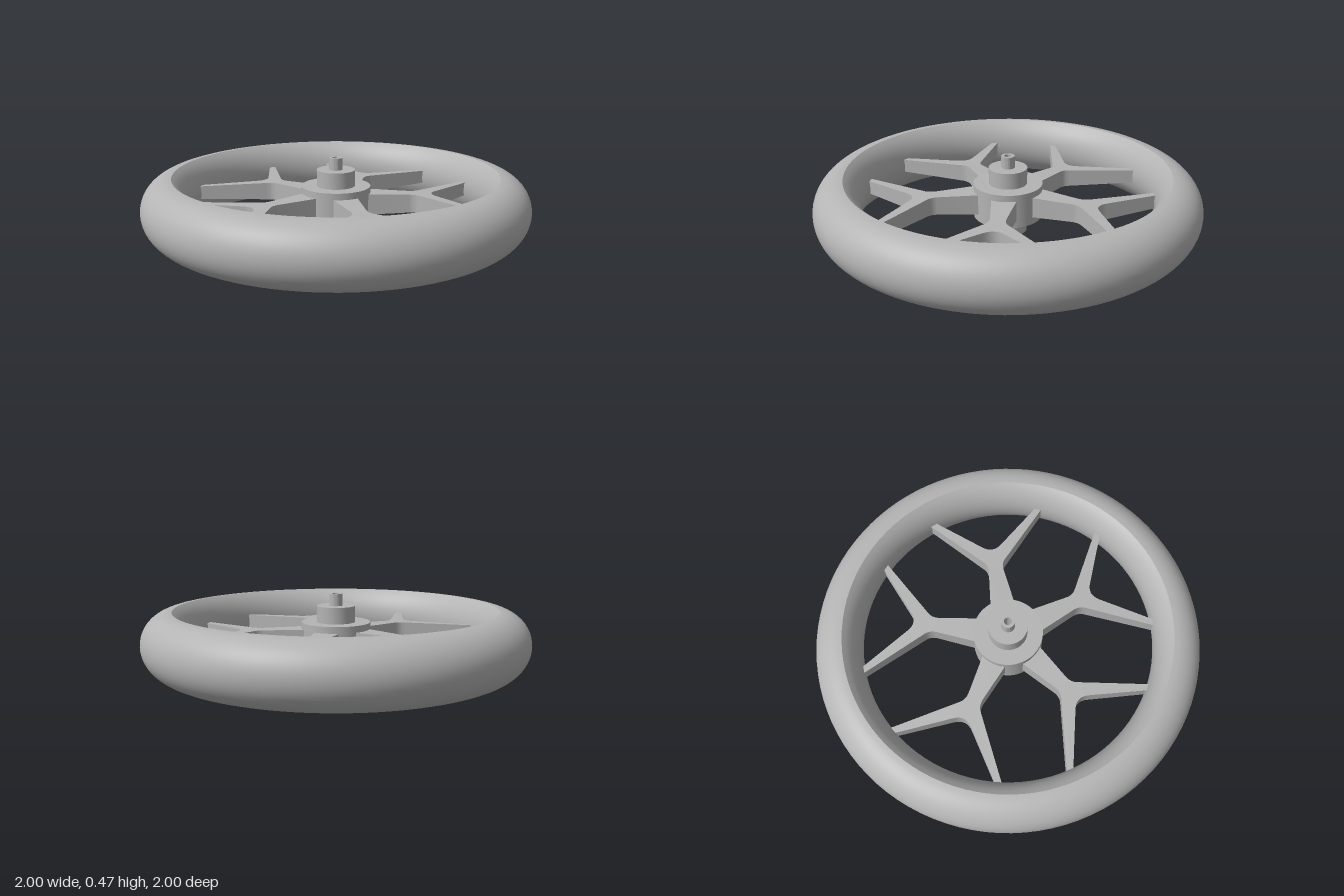
import * as THREE from 'three';
import { toCreasedNormals } from 'three/addons/utils/BufferGeometryUtils.js';

const MID = 0.24; // height of the wheel's middle plane
const SPOKES = 5;

function lathe(points, segments, name, material) {
  const profile = points.map(([r, y]) => new THREE.Vector2(r, y));
  const mesh = new THREE.Mesh(toCreasedNormals(new THREE.LatheGeometry(profile, segments), 0.5), material);
  mesh.name = name;
  return mesh;
}

// Points along a circular arc in the (radius, height) plane
function arc(cx, cy, r, from, to, steps) {
  return Array.from({ length: steps + 1 }, (_, i) => {
    const a = from + ((to - from) * i) / steps;
    return [cx + r * Math.cos(a), cy + r * Math.sin(a)];
  });
}

// Y-shaped spoke lying along +x, thinner towards the rim
function spokeGeometry() {
  const s = new THREE.Shape();
  s.moveTo(0.1, -0.072);
  s.lineTo(0.37, -0.04);
  s.quadraticCurveTo(0.41, -0.036, 0.435, -0.062);
  s.lineTo(0.707, -0.315);
  s.lineTo(0.723, -0.287);
  s.lineTo(0.525, -0.055);
  s.quadraticCurveTo(0.475, 0, 0.525, 0.055);
  s.lineTo(0.723, 0.287);
  s.lineTo(0.707, 0.315);
  s.lineTo(0.435, 0.062);
  s.quadraticCurveTo(0.41, 0.036, 0.37, 0.04);
  s.lineTo(0.1, 0.072);
  s.closePath();
  const g = new THREE.ExtrudeGeometry(s, { depth: 2, bevelEnabled: false, curveSegments: 8 });
  g.translate(0, 0, -1);
  g.rotateX(-Math.PI / 2);
  const p = g.attributes.position;
  for (let i = 0; i < p.count; i++) {
    const t = Math.min(1, Math.max(0, (Math.hypot(p.getX(i), p.getZ(i)) - 0.18) / 0.58));
    p.setY(i, p.getY(i) * THREE.MathUtils.lerp(0.055, 0.036, t));
  }
  return toCreasedNormals(g, 0.5);
}

export function createModel() {
  const model = new THREE.Group();
  model.name = 'wheel';
  const grey = new THREE.MeshStandardMaterial({ color: 0xb4b4b4 });
  grey.name = 'grey';

  // Tyre: round outside, shallow bulge on the inside, sharp edge between them
  const flare = Math.asin(0.8);
  const outer = arc(0.84, MID, 0.16, -Math.PI / 2, Math.PI / 2, 24);
  const inner = arc(0.96, MID, 0.2, Math.PI - flare, Math.PI + flare, 16);
  model.add(lathe([...outer, ...inner.slice(1)], 96, 'tyre', grey));

  // Hub: drum, collars and hollow axle turned from one profile
  const half = [[0.18, 0.09], [0.1, 0.09], [0.1, 0.175], [0.035, 0.175], [0.035, 0.2375], [0.02, 0.2375]];
  const upper = half.map(([r, h]) => [r, 0.2375 + h]);
  const lower = half.map(([r, h]) => [r, 0.2375 - h]).reverse();
  model.add(lathe([...lower, ...upper, lower[0]], 48, 'hub', grey));

  // Spokes
  const spokes = new THREE.Group();
  spokes.name = 'spokes';
  const geometry = spokeGeometry();
  for (let i = 0; i < SPOKES; i++) {
    const spoke = new THREE.Mesh(geometry, grey);
    spoke.name = 'spoke';
    spoke.position.y = MID;
    spoke.rotation.y = -THREE.MathUtils.degToRad(22 + (i * 360) / SPOKES);
    spokes.add(spoke);
  }
  model.add(spokes);
  return model;
}
